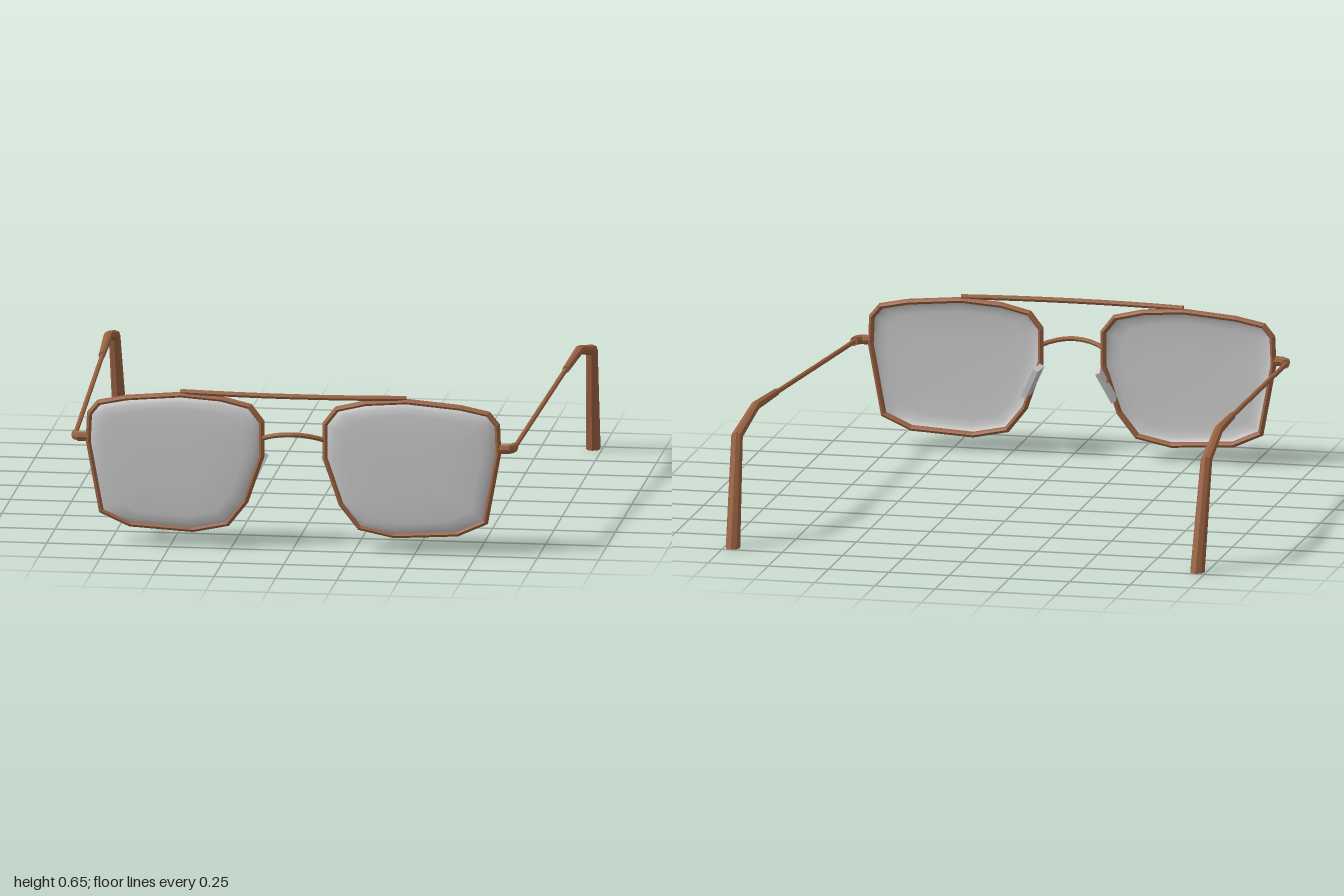
import * as THREE from 'three';

const V = (x, y, z) => new THREE.Vector3(x, y, z);
const metal = new THREE.MeshStandardMaterial({ color: 0x9b6342, flatShading: true });
const glass = new THREE.MeshStandardMaterial({ color: 0xcccccc, side: THREE.DoubleSide });
const padGrey = new THREE.MeshStandardMaterial({ color: 0xcccccc });

// Sweeps an elliptical section along mitred points. ref lies across the bend plane.
// sizes: one [in-plane, across] half size per point, or a single one for all.
function sweep(name, pts, sizes, ref, { closed = false, sides = 8, endNormal = null } = {}) {
  const n = pts.length, pos = [], idx = [];
  pts.forEach((p, i) => {
    const prev = closed ? pts[(i + n - 1) % n] : pts[Math.max(i - 1, 0)];
    const next = closed ? pts[(i + 1) % n] : pts[Math.min(i + 1, n - 1)];
    const a = p.clone().sub(prev).normalize(), b = next.clone().sub(p).normalize();
    let t = a.clone().add(b).normalize();
    if (endNormal && i === n - 1) t = endNormal;
    const miter = a.lengthSq() && b.lengthSq() ? 1 / Math.max(0.5, t.dot(b)) : 1;
    const side = t.clone().cross(ref).normalize();
    const up = side.clone().cross(t).normalize();
    const [w, h] = Array.isArray(sizes[0]) ? sizes[i] : sizes;
    for (let j = 0; j < sides; j++) {
      const ang = (j / sides) * Math.PI * 2;
      const q = p.clone().addScaledVector(side, w * miter * Math.cos(ang)).addScaledVector(up, h * Math.sin(ang));
      pos.push(q.x, q.y, q.z);
    }
  });
  for (let i = 0; i < (closed ? n : n - 1); i++) {
    for (let j = 0; j < sides; j++) {
      const k = (j + 1) % sides, r = ((i + 1) % n) * sides;
      const a = i * sides + j, b = i * sides + k, c = r + j, d = r + k;
      idx.push(a, c, b, b, c, d);
    }
  }
  // end caps
  if (!closed) {
    const e = (n - 1) * sides;
    for (let j = 1; j < sides - 1; j++) idx.push(0, j, j + 1, e, e + j + 1, e + j);
  }
  const geo = new THREE.BufferGeometry();
  geo.setAttribute('position', new THREE.Float32BufferAttribute(pos, 3));
  geo.setIndex(idx);
  geo.computeVertexNormals();
  const mesh = new THREE.Mesh(geo, metal);
  mesh.name = name;
  return mesh;
}

// Centre line of one rim, counted round from the nose side
const outline = [
  [0.13, 0.52], [0.178, 0.582], [0.295, 0.61], [0.46, 0.622], [0.68, 0.603], [0.793, 0.58], [0.83, 0.535],
  [0.835, 0.42], [0.782, 0.133], [0.667, 0.081], [0.41, 0.066], [0.27, 0.095], [0.195, 0.19], [0.13, 0.38],
];

// Shallow domed lens: the rim outline shrunk ring by ring towards its middle
function lens(s) {
  const rings = [[1, 0.955], [0.96, 0.966], [0.9, 0.974], [0.8, 0.979], [0.5, 0.982]];
  const cx = 0.49, cy = 0.35, n = outline.length, pos = [], idx = [];
  for (const [k, z] of rings)
    for (const [x, y] of outline) pos.push(s * (cx + (x - cx) * k), cy + (y - cy) * k, z);
  pos.push(s * cx, cy, 0.983);
  const tri = (a, b, c) => (s > 0 ? idx.push(a, c, b) : idx.push(a, b, c));
  for (let r = 0; r < rings.length; r++) {
    for (let j = 0; j < n; j++) {
      const a = r * n + j, b = r * n + ((j + 1) % n);
      if (r === rings.length - 1) tri(a, b, rings.length * n);
      else { tri(a, b, a + n); tri(b, b + n, a + n); }
    }
  }
  const geo = new THREE.BufferGeometry();
  geo.setAttribute('position', new THREE.Float32BufferAttribute(pos, 3));
  geo.setIndex(idx);
  geo.computeVertexNormals();
  const mesh = new THREE.Mesh(geo, glass);
  mesh.name = 'lens';
  return mesh;
}

function sideParts(s) {
  const g = new THREE.Group();
  g.name = s > 0 ? 'leftSide' : 'rightSide';
  const X = V(1, 0, 0), Y = V(0, 1, 0), Z = V(0, 0, 1);

  g.add(sweep('rim', outline.map(([x, y]) => V(s * x, y, 0.955)), [0.012, 0.017], Z, { closed: true }));
  g.add(lens(s));

  // end piece joining rim and temple
  g.add(sweep('endPiece', [
    V(s * 0.835, 0.437, 0.955), V(s * 0.875, 0.437, 0.955), V(s * 0.892, 0.437, 0.935), V(s * 0.895, 0.437, 0.91),
  ], [0.016, 0.02], Y));

  // thin temple wire
  g.add(sweep('templeWire', [V(s * 0.895, 0.435, 0.925), V(s * 0.945, 0.489, -0.28)], [0.01, 0.01], X));

  // thick sleeve bending down behind the ear, cut level at the bottom
  g.add(sweep('templeTip', [
    V(s * 0.945, 0.489, -0.26), V(s * 0.96, 0.501, -0.57), V(s * 0.973, 0.437, -0.845), V(s * 0.963, 0, -0.961),
  ], [[0.015, 0.014], [0.018, 0.02], [0.022, 0.024], [0.038, 0.03]], X, { endNormal: V(0, -1, 0) }));

  // nose pad on its short arm
  g.add(sweep('padArm', [V(s * 0.158, 0.3, 0.95), V(s * 0.145, 0.33, 0.925), V(s * 0.152, 0.32, 0.9)], [0.01, 0.01], X));
  const pad = new THREE.Mesh(new THREE.BoxGeometry(0.022, 0.14, 0.066), padGrey);
  pad.name = 'nosePad';
  pad.position.set(s * 0.152, 0.312, 0.902);
  pad.rotation.set(-0.15, -0.2 * s, 0.45 * s);
  g.add(pad);
  return g;
}

export function createModel() {
  const model = new THREE.Group();
  model.name = 'glasses';
  for (const s of [1, -1]) model.add(sideParts(s));

  // bowed brow bar and arched nose bridge
  const bar = [], bridge = [];
  for (let i = 0; i <= 8; i++) {
    const u = i / 4 - 1, bow = 1 - u * u;
    bar.push(V(0.46 * u, 0.635, 0.955 + 0.03 * bow));
    bridge.push(V(0.135 * u, 0.45 + 0.028 * bow, 0.957 + 0.031 * bow));
  }
  model.add(sweep('browBar', bar, [0.012, 0.011], V(0, 1, 0)));
  model.add(sweep('bridge', bridge, [0.01, 0.01], V(0, 1, 0)));
  return model;
}
